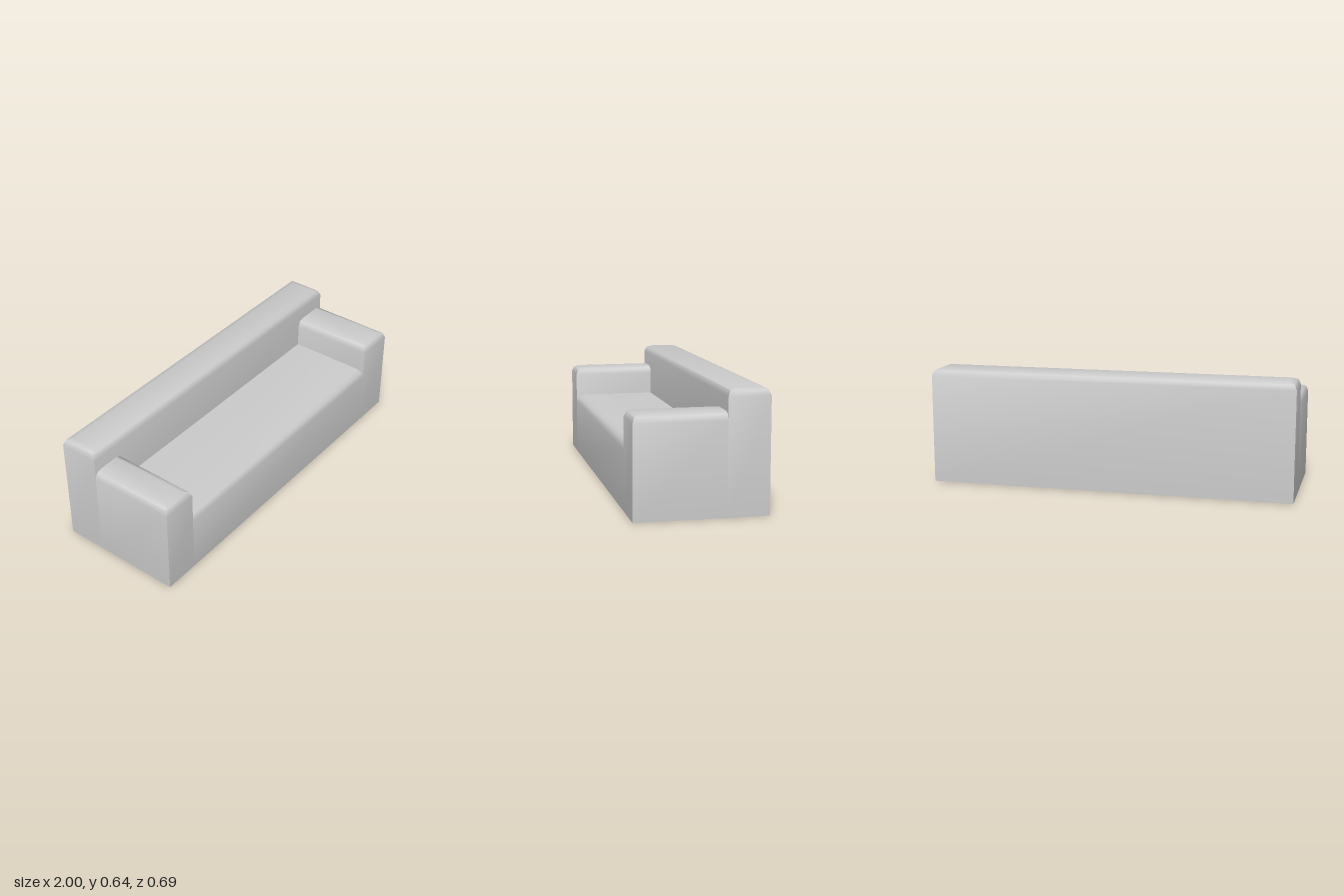
import * as THREE from 'three';
import { toCreasedNormals } from 'three/addons/utils/BufferGeometryUtils.js';

const material = new THREE.MeshStandardMaterial({ color: 0xcccccc });

// Upholstered block with rounded top edges on the chosen sides.
// Sides that butt against a neighbouring block are left open.
function block(name, x0, x1, z0, z1, top, { front = 1, right = 1, back = 1, left = 1 } = {}) {
  // [height, inset] of each horizontal ring
  const rings = [[0, 0], [top - 0.04, 0], [top - 0.011, 0.012], [top, 0.042]].map(([y, d]) => {
    const l = x0 + d * left, r = x1 - d * right, b = z0 + d * back, f = z1 - d * front;
    return [[l, y, f], [r, y, f], [r, y, b], [l, y, b]];
  });
  const closed = [front, right, back, left];
  const positions = [];
  const quad = (a, b, c, d) => positions.push(...a, ...b, ...c, ...a, ...c, ...d);

  for (let k = 0; k < rings.length - 1; k++) {
    for (let i = 0; i < 4; i++) {
      const j = (i + 1) % 4;
      if (closed[i]) quad(rings[k][i], rings[k][j], rings[k + 1][j], rings[k + 1][i]);
    }
  }
  quad(...rings[rings.length - 1]); // top
  quad(...[...rings[0]].reverse()); // underside

  const geometry = new THREE.BufferGeometry();
  geometry.setAttribute('position', new THREE.Float32BufferAttribute(positions, 3));
  const mesh = new THREE.Mesh(toCreasedNormals(geometry, 0.95), material);
  mesh.name = name;
  return mesh;
}

export function createModel() {
  const sofa = new THREE.Group();
  sofa.name = 'sofa';
  const zBack = -0.343, zRest = -0.127, zFront = 0.344;
  const innerRight = -0.804, innerLeft = 0.777;

  sofa.add(
    block('backrest', -1, 1, zBack, zRest, 0.638),
    block('rightArmrest', -1, innerRight, zRest, zFront, 0.523, { back: 0 }),
    block('leftArmrest', innerLeft, 1, zRest, zFront, 0.523, { back: 0 }),
    block('seat', innerRight, innerLeft, zRest, zFront, 0.355, { back: 0, left: 0, right: 0 }),
  );
  return sofa;
}
